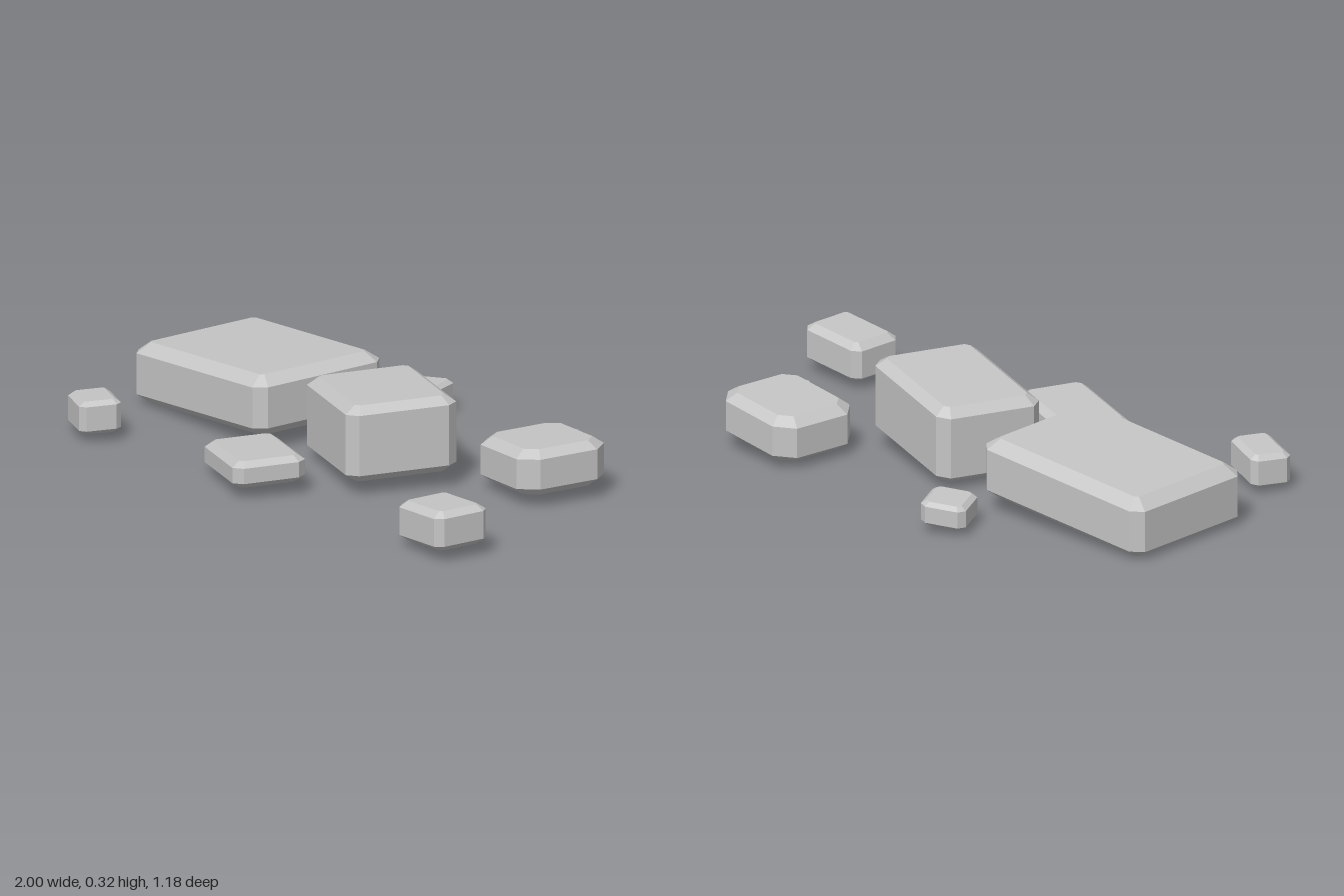
import * as THREE from 'three';

const SLOPE = 0.077; // every stone rises gently towards +x

// x, z: centre; w, d: footprint; turn: clockwise from above; cut: corner cut; bevel: rim inset
// chips: thin flakes on the top, [x, z, half length, half width, turn]
const STONES = [
  { name: 'largeSlab', x: -0.64, z: -0.065, w: 0.712, d: 0.52, turn: 0.02, cut: 0.037, bottom: 0.026, top: 0.235, bevel: 0.045,
    chips: [[-0.73, -0.15, 0.085, 0.038, 0.05], [-0.815, -0.05, 0.075, 0.04, -0.35], [-0.6, -0.13, 0.05, 0.022, 0.1],
      [-0.465, -0.175, 0.05, 0.022, -0.35], [-0.68, 0.02, 0.035, 0.02, 0.2], [-0.46, 0.1, 0.035, 0.02, 0.4]] },
  { name: 'tallBlock', x: 0.087, z: -0.016, w: 0.505, d: 0.38, turn: 0.36, cut: 0.036, bottom: 0.035, top: 0.297, bevel: 0.036,
    chips: [[0.07, -0.13, 0.035, 0.016, 0.15], [0.07, -0.065, 0.07, 0.03, 0.4], [0.21, -0.045, 0.055, 0.024, 0.3], [0.19, 0.01, 0.03, 0.016, 0.1]] },
  { name: 'squareBlock', x: 0.57, z: -0.31, w: 0.356, d: 0.33, turn: 0.15, cut: 0.058, bottom: 0.031, top: 0.188, bevel: 0.036,
    chips: [[0.625, -0.385, 0.055, 0.028, 0.2], [0.605, -0.235, 0.055, 0.05, 0.5]] },
  { name: 'rightStone', x: 0.866, z: 0.334, w: 0.258, d: 0.203, turn: 0.077, cut: 0.025, bottom: 0.03, top: 0.166, bevel: 0.027, chips: [] },
  { name: 'frontSlab', x: -0.074, z: 0.386, w: 0.365, d: 0.25, turn: 0.355, cut: 0.03, bottom: 0.03, top: 0.122, bevel: 0.026, chips: [] },
  { name: 'leftPebble', x: -0.797, z: 0.492, w: 0.198, d: 0.142, turn: 0.424, cut: 0.02, bottom: 0.024, top: 0.138, bevel: 0.02, chips: [] },
  { name: 'backPebble', x: -0.307, z: -0.495, w: 0.155, d: 0.168, turn: -0.42, cut: 0.022, bottom: 0.028, top: 0.11, bevel: 0.017, chips: [] },
];

// Rectangle with cut corners, clockwise from above, turned and set on the stone's slope
function ring(stone, y, inset) {
  const a = stone.w / 2 - inset, b = stone.d / 2 - inset;
  const cut = stone.cut - inset * (2 - Math.SQRT2);
  const cos = Math.cos(stone.turn), sin = Math.sin(stone.turn);
  const corners = [
    [cut - a, -b], [a - cut, -b], [a, cut - b], [a, b - cut],
    [a - cut, b], [cut - a, b], [-a, b - cut], [-a, cut - b],
  ];
  return corners.map(([u, v]) => {
    const dx = u * cos - v * sin;
    return [stone.x + dx, y + SLOPE * dx, stone.z + u * sin + v * cos];
  });
}

// Bevelled stone lofted through four rings and closed with flat caps
function stoneGeometry(stone) {
  const { bottom, top, bevel } = stone;
  const rise = bevel * 0.75;
  const rings = [
    ring(stone, bottom, bevel),
    ring(stone, bottom + rise, 0),
    ring(stone, top - rise, 0),
    ring(stone, top, bevel),
  ];
  const pos = [];
  const tri = (a, b, c) => pos.push(...a, ...b, ...c);
  for (let k = 0; k < 3; k++) {
    for (let i = 0; i < 8; i++) {
      const j = (i + 1) % 8;
      tri(rings[k][j], rings[k][i], rings[k + 1][i]);
      tri(rings[k][j], rings[k + 1][i], rings[k + 1][j]);
    }
  }
  for (let i = 1; i < 7; i++) {
    tri(rings[3][0], rings[3][i + 1], rings[3][i]);
    tri(rings[0][0], rings[0][i], rings[0][i + 1]);
  }
  const g = new THREE.BufferGeometry();
  g.setAttribute('position', new THREE.Float32BufferAttribute(pos, 3));
  g.computeVertexNormals();
  return g;
}

// Flat, slightly irregular flake lying just above the sloping top
function chipGeometry(stone, [x, z, a, b, turn]) {
  const points = [];
  for (let i = 0; i < 8; i++) {
    const t = i / 8 * Math.PI * 2;
    const r = i % 3 === 1 ? 0.82 : 1;
    points.push(new THREE.Vector2(Math.cos(t) * a * r, Math.sin(t) * b * r));
  }
  const g = new THREE.ShapeGeometry(new THREE.Shape(points));
  g.rotateX(-Math.PI / 2).rotateY(-turn).translate(x, 0, z);
  const p = g.attributes.position;
  for (let i = 0; i < p.count; i++) {
    p.setY(i, stone.top + 0.012 + SLOPE * (p.getX(i) - stone.x));
  }
  g.computeVertexNormals();
  return g;
}

export function createModel() {
  const model = new THREE.Group();
  model.name = 'scatteredStones';
  const grey = new THREE.MeshStandardMaterial({ color: 0xc5c5c5, side: THREE.DoubleSide });
  grey.name = 'stoneGrey';

  for (const stone of STONES) {
    const group = new THREE.Group();
    group.name = stone.name;
    const body = new THREE.Mesh(stoneGeometry(stone), grey);
    body.name = `${stone.name}Body`;
    group.add(body);
    stone.chips.forEach((spec, i) => {
      const chip = new THREE.Mesh(chipGeometry(stone, spec), grey);
      chip.name = `${stone.name}Chip${i + 1}`;
      group.add(chip);
    });
    model.add(group);
  }
  return model;
}
